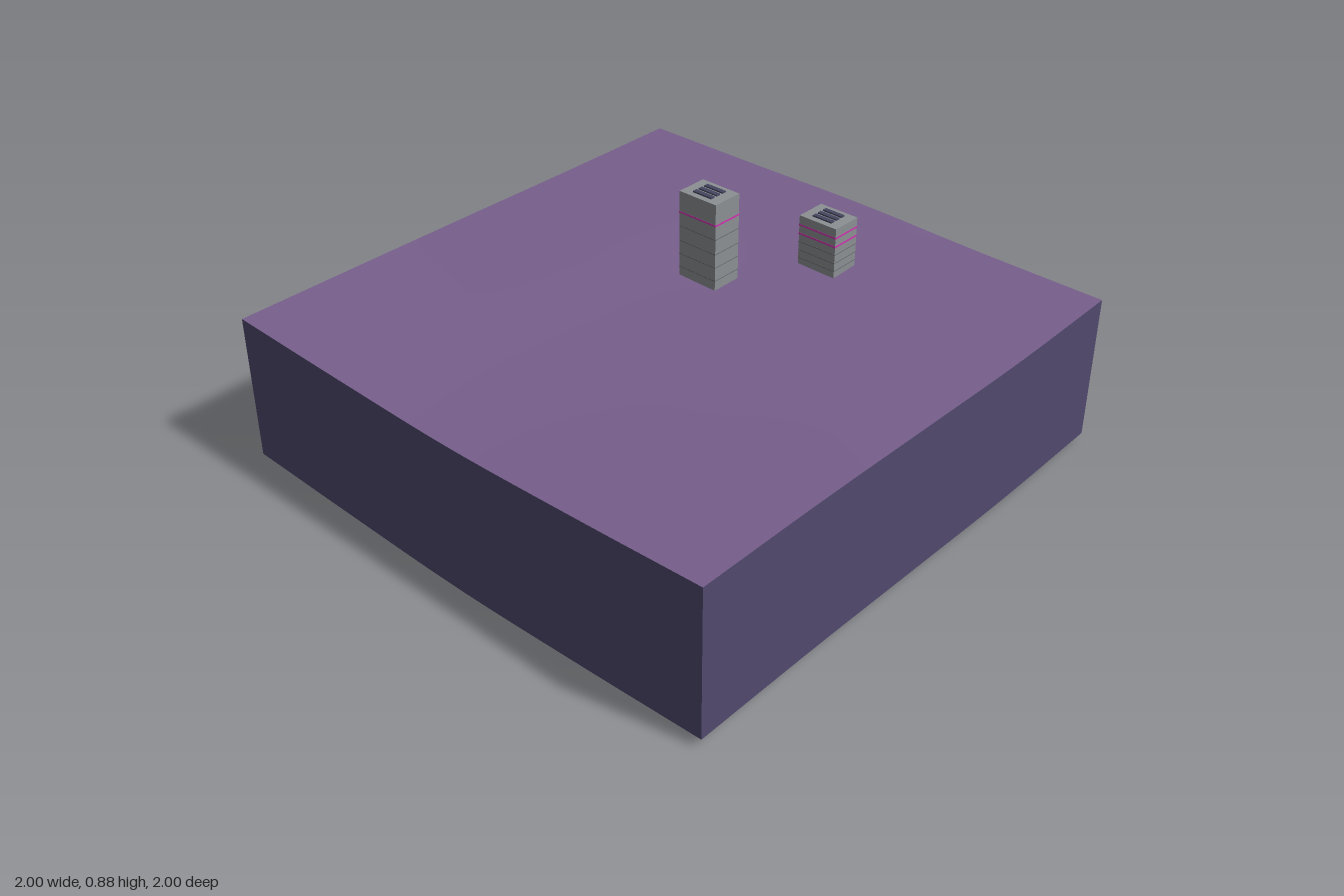
import * as THREE from 'three';

const mat = (name, color, side = THREE.FrontSide) => {
  const m = new THREE.MeshStandardMaterial({ color, side });
  m.name = name;
  return m;
};

// Ground heights, rows from back (z = -1) to front (z = 1), columns from x = -1 to 1
const HEIGHTS = [
  [0.567, 0.570, 0.572, 0.573, 0.577],
  [0.548, 0.558, 0.564, 0.569, 0.577],
  [0.535, 0.547, 0.553, 0.557, 0.579],
  [0.547, 0.553, 0.553, 0.550, 0.566],
  [0.567, 0.567, 0.558, 0.550, 0.560],
];
const SKIRT = 0.535;
const SEGMENTS = 24;

// Smooth curve through five evenly spaced values, t from -1 to 1
function spline(v, t) {
  const u = (t + 1) * 2;
  const i = Math.min(3, Math.max(0, Math.floor(u)));
  const f = u - i;
  const b = v[i], c = v[i + 1];
  const a = i > 0 ? v[i - 1] : 2 * b - c;
  const d = i < 3 ? v[i + 2] : 2 * c - b;
  return b + 0.5 * f * (c - a + f * (2 * a - 5 * b + 4 * c - d + f * (3 * (b - c) + d - a)));
}
const groundHeight = (x, z) => spline(HEIGHTS.map((row) => spline(row, x)), z);

function makeGround(material) {
  const geo = new THREE.PlaneGeometry(2, 2, SEGMENTS, SEGMENTS).rotateX(-Math.PI / 2);
  const p = geo.attributes.position;
  for (let i = 0; i < p.count; i++) p.setY(i, groundHeight(p.getX(i), p.getZ(i)));
  geo.computeVertexNormals();
  const mesh = new THREE.Mesh(geo, material);
  mesh.name = 'ground';
  return mesh;
}

// Side wall whose top and bottom both follow the edge of the ground
function makeWall(name, angle, material) {
  const geo = new THREE.PlaneGeometry(2, 1, SEGMENTS, 1).translate(0, 0, 1).rotateY(angle);
  const p = geo.attributes.position;
  for (let i = 0; i < p.count; i++) {
    const top = groundHeight(p.getX(i), p.getZ(i));
    p.setY(i, p.getY(i) > 0 ? top : top - SKIRT);
  }
  const mesh = new THREE.Mesh(geo, material);
  mesh.name = name;
  return mesh;
}

function makeTower({ name, x, z, base, top, depth, lines, neon }, mats) {
  const tower = new THREE.Group();
  tower.name = name;
  const width = 0.118;
  const box = (part, w, h, d, px, py, pz, material) => {
    const mesh = new THREE.Mesh(new THREE.BoxGeometry(w, h, d), material);
    mesh.name = part;
    mesh.position.set(px, py, pz);
    tower.add(mesh);
  };
  box('towerBlock', width, top - base, depth, x, (top + base) / 2, z, mats.concrete);
  // Floor seams and lit bands around the block
  for (const y of lines) box('floorSeam', width + 0.001, 0.003, depth + 0.001, x, y, z, mats.seam);
  for (const y of neon) box('neonBand', width + 0.002, 0.006, depth + 0.002, x, y, z, mats.neon);
  // Roof vents
  for (const k of [-1, 0, 1]) box('roofVent', 0.017, 0.005, 0.08, x + k * 0.028, top + 0.0025, z, mats.vent);
  return tower;
}

export function createModel() {
  const model = new THREE.Group();
  model.name = 'cityTile';
  const ground = mat('ground purple', 0x775f8c, THREE.DoubleSide);
  const wall = mat('wall indigo', 0x514a6e, THREE.DoubleSide);
  const mats = {
    concrete: mat('concrete grey', 0x8c9092),
    seam: mat('seam grey', 0x6a6d70),
    neon: mat('neon magenta', 0xd030b0),
    vent: mat('vent slate', 0x45455f),
  };

  model.add(makeGround(ground));
  ['frontWall', 'leftWall', 'backWall', 'rightWall'].forEach((name, i) =>
    model.add(makeWall(name, (i * Math.PI) / 2, wall)));

  model.add(makeTower({
    name: 'tallTower', x: 0.249, z: -0.08, base: 0.553, top: 0.874, depth: 0.16,
    lines: [0.59, 0.64, 0.69, 0.745], neon: [0.797],
  }, mats));
  model.add(makeTower({
    name: 'shortTower', x: 0.585, z: 0.165, base: 0.55, top: 0.741, depth: 0.155,
    lines: [0.58, 0.61, 0.642], neon: [0.673, 0.706],
  }, mats));
  return model;
}
